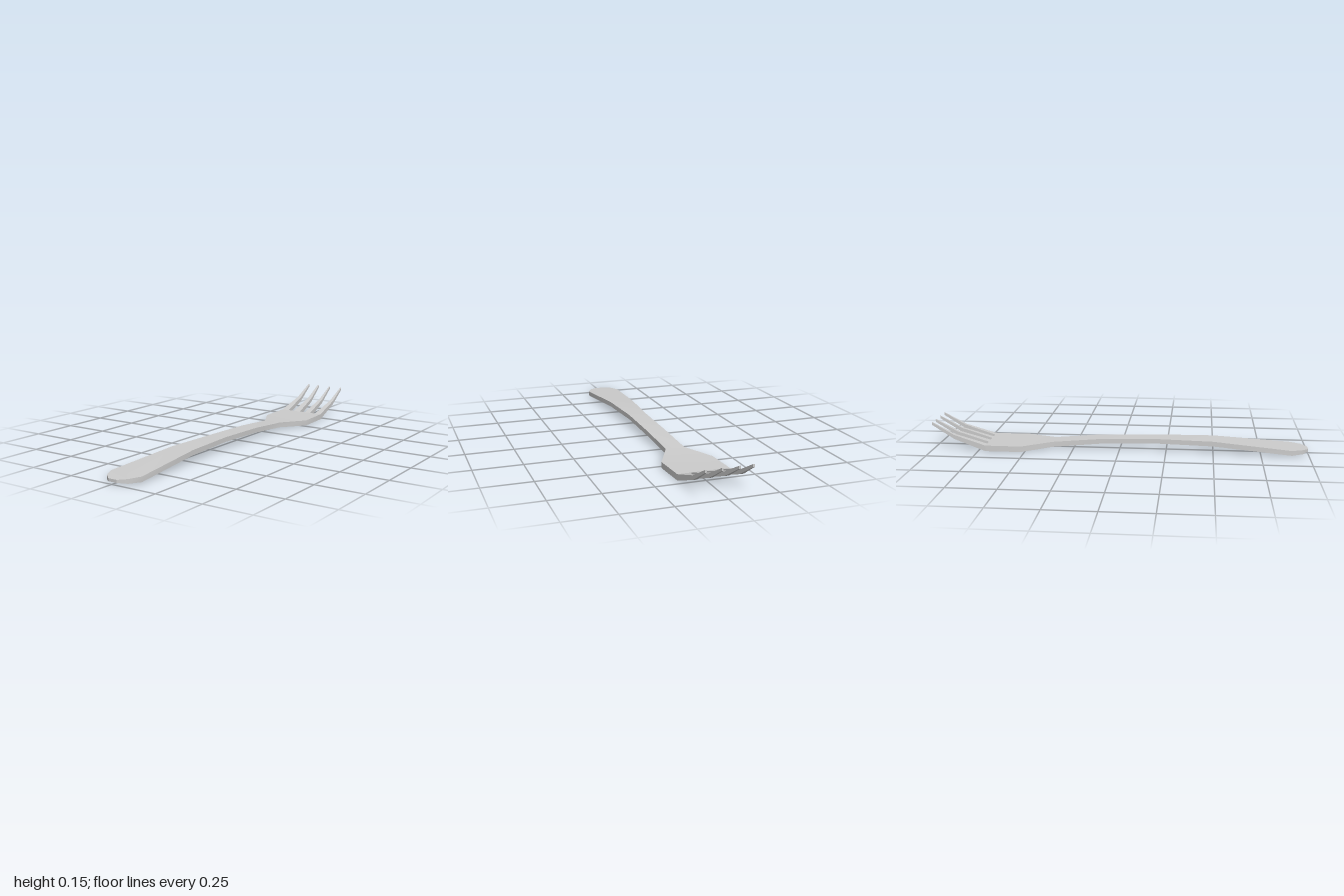
import * as THREE from 'three';
import { toCreasedNormals } from 'three/addons/utils/BufferGeometryUtils.js';

const material = new THREE.MeshStandardMaterial({ color: 0xcccccc });

// Loft rectangular sections [z, xLeft, xRight, yBottom, yTop], ordered from +z to -z
function loft(name, sections, capStart) {
  const positions = [], index = [];
  for (const [z, x0, x1, y0, y1] of sections)
    positions.push(x0, y0, z, x1, y0, z, x1, y1, z, x0, y1, z);
  for (let i = 0; i < sections.length - 1; i++) {
    for (let j = 0; j < 4; j++) {
      const a = i * 4 + j, b = i * 4 + (j + 1) % 4;
      index.push(a, a + 4, b + 4, a, b + 4, b);
    }
  }
  const e = (sections.length - 1) * 4;
  if (capStart) index.push(0, 1, 2, 0, 2, 3);
  index.push(e, e + 2, e + 1, e, e + 3, e + 2);

  const geometry = new THREE.BufferGeometry();
  geometry.setAttribute('position', new THREE.Float32BufferAttribute(positions, 3));
  geometry.setIndex(index);
  const mesh = new THREE.Mesh(toCreasedNormals(geometry, 0.6), material);
  mesh.name = name;
  return mesh;
}

export function createModel() {
  const fork = new THREE.Group();
  fork.name = 'fork';

  // Handle, neck and head in one bent bar
  fork.add(loft('handleAndHead', [
    [1.0, -0.018, 0.03, 0.016, 0.03],
    [0.97, -0.055, 0.07, 0.011, 0.033],
    [0.91, -0.085, 0.1, 0.009, 0.035],
    [0.5, -0.054, 0.078, 0.04, 0.066],
    [0.2, -0.035, 0.063, 0.043, 0.068],
    [-0.1, -0.036, 0.061, 0.035, 0.061],
    [-0.36, -0.046, 0.053, 0.013, 0.041],
    [-0.52, -0.132, 0.135, 0.004, 0.034],
    [-0.71, -0.137, 0.127, 0.005, 0.036],
  ], true));

  // Tines: [root left, root right, tip left, tip right]
  const tines = [
    [-0.137, -0.095, -0.121, -0.112],
    [-0.057, -0.015, -0.054, -0.044],
    [0.02, 0.056, 0.028, 0.035],
    [0.09, 0.127, 0.106, 0.114],
  ];
  const mix = THREE.MathUtils.lerp;
  tines.forEach(([r0, r1, t0, t1], i) => {
    fork.add(loft('tine' + (i + 1), [
      [-0.71, r0, r1, 0.005, 0.036],
      [-0.88, mix(r0, t0, 0.57), mix(r1, t1, 0.57), 0.066, 0.088],
      [-1.0, t0, t1, 0.139, 0.153],
    ], false));
  });

  // Rest the lowest point on the ground
  fork.children.forEach((part) => part.geometry.translate(0, -0.004, 0));
  return fork;
}
